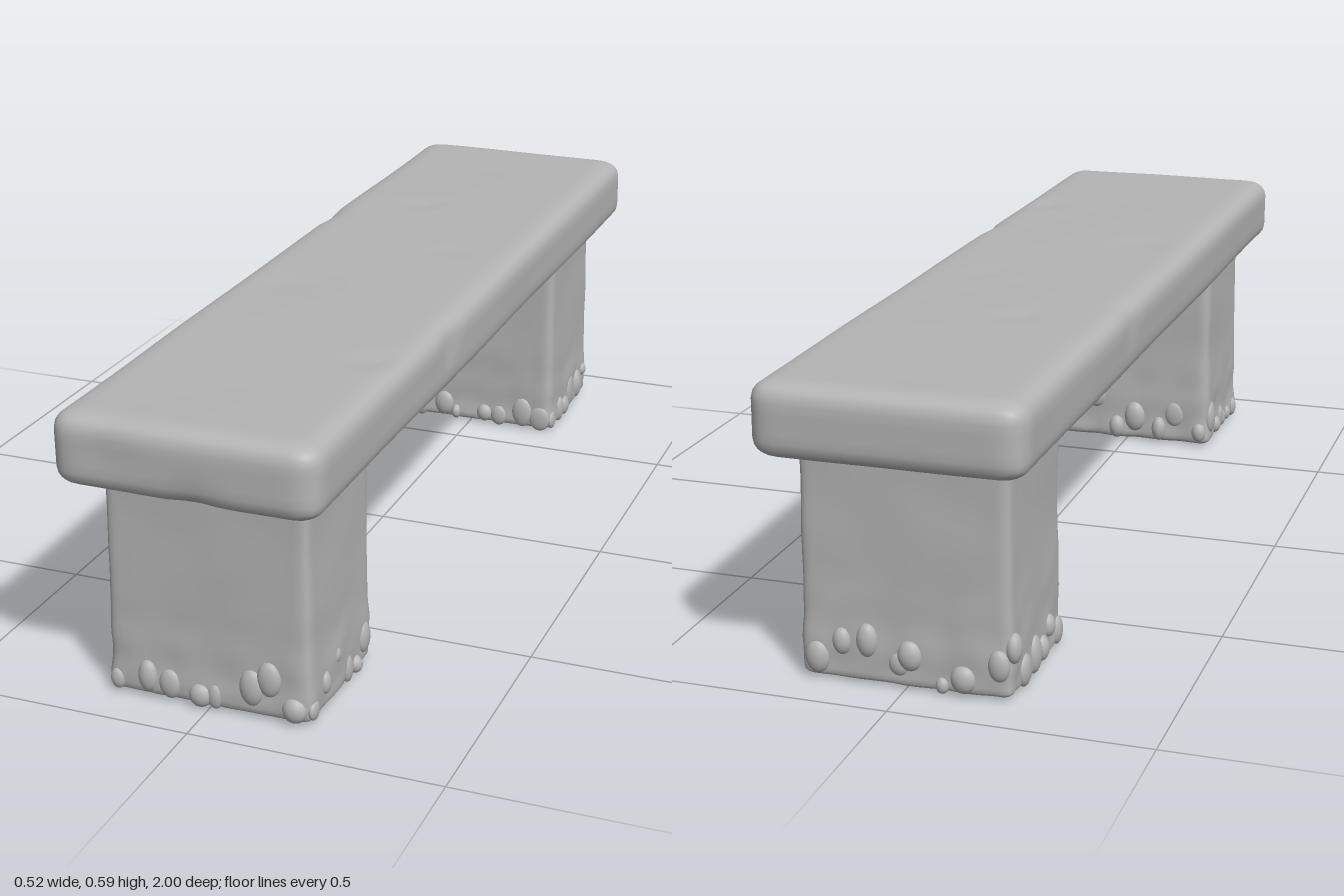
import * as THREE from 'three';
import { mergeVertices } from 'three/addons/utils/BufferGeometryUtils.js';

const stone = new THREE.MeshStandardMaterial({ color: 0xb4b4b4 });
stone.name = 'grey stone';

// Small seeded random generator
function seeded(seed) {
  return () => {
    seed = (seed * 16807) % 2147483647;
    return seed / 2147483647;
  };
}

// Smooth uneven wobble of a point, about -1 to 1
function wobble(x, y, z, f, phase) {
  return (Math.sin(x * f + 1.7 * Math.sin(y * f * 0.8 + phase) + phase)
    + Math.sin(y * f * 1.3 + 1.4 * Math.sin(z * f * 0.7) + phase * 2)
    + Math.sin(z * f * 0.9 + 1.6 * Math.sin(x * f * 1.1) - phase)) / 3;
}

// Box with rounded edges; rule(point, outward direction) adds the weathering
function roundedBlock(half, radius, segments, rule) {
  const geo = new THREE.BoxGeometry(2, 2, 2, ...segments);
  geo.deleteAttribute('uv');
  geo.deleteAttribute('normal');
  const pos = geo.attributes.position;
  const axes = ['x', 'y', 'z'];
  const p = new THREE.Vector3(), q = new THREE.Vector3(), inner = new THREE.Vector3();
  for (let i = 0; i < pos.count; i++) {
    p.fromBufferAttribute(pos, i);
    for (const a of axes) {
      // crowd the grid towards the edges
      const v = Math.sin(p[a] * Math.PI / 2) * half[a];
      inner[a] = THREE.MathUtils.clamp(v, radius[a] - half[a], half[a] - radius[a]);
      q[a] = (v - inner[a]) / radius[a];
    }
    q.normalize();
    p.copy(q).multiply(radius).add(inner);
    rule(p, q);
    pos.setXYZ(i, p.x, p.y, p.z);
  }
  const merged = mergeVertices(geo, 1e-5);
  merged.computeVertexNormals();
  return merged;
}

// Worn seat slab with a few shallow chips: x, y, z, radius, depth
function makeSeat() {
  const chips = [
    [-0.07, 0.0725, -0.44, 0.05, 0.008], [0.19, 0.0725, 0.54, 0.06, 0.006],
    [-0.14, 0.0725, 0.2, 0.09, 0.004], [0.1, 0.0725, -0.12, 0.06, 0.004],
    [0.26, 0.04, 0.3, 0.06, 0.008], [-0.26, 0.05, -0.3, 0.07, 0.006],
    [0.02, -0.06, 1, 0.07, 0.006], [-0.15, 0.02, 1, 0.08, 0.004],
  ];
  const geo = roundedBlock(new THREE.Vector3(0.26, 0.0725, 0.998),
    new THREE.Vector3(0.05, 0.035, 0.05), [24, 12, 80], (p, n) => {
      let d = 0.002 * wobble(p.x, p.y, p.z, 9, 0.6);
      for (const [x, y, z, r, depth] of chips) {
        const t = Math.hypot(p.x - x, p.y - y, p.z - z) / r;
        if (t < 1) d -= depth * (1 - t * t) ** 2;
      }
      p.addScaledVector(n, d);
    });
  const seat = new THREE.Mesh(geo, stone);
  seat.name = 'seat';
  seat.position.y = 0.5235;
  return seat;
}

// Square pier, rough and slightly swollen at the foot, with crumbled lumps
function makeLeg(name, z, seed) {
  const leg = new THREE.Group();
  leg.name = name;
  const half = new THREE.Vector3(0.203, 0.228, 0.151);
  const block = new THREE.Mesh(roundedBlock(half, new THREE.Vector3(0.02, 0.015, 0.02),
    [28, 30, 24], (p, n) => {
      const foot = THREE.MathUtils.clamp((0.02 - p.y) / 0.24, 0, 1);
      const d = 0.002 * wobble(p.x, p.y, p.z, 22, seed)
        + foot * (0.004 + 0.004 * wobble(p.x, p.y, p.z, 55, seed + 2));
      p.x += n.x * d;
      p.z += n.z * d;
      p.y += n.y * d * 0.3;
    }), stone);
  block.name = 'pier';
  block.position.y = 0.235;
  leg.add(block);

  const rand = seeded(seed * 977 + 13);
  const lumpGeo = new THREE.IcosahedronGeometry(1, 3);
  for (let side = 0; side < 4; side++) {
    const alongX = side % 2 === 0;
    const sign = side < 2 ? 1 : -1;
    const span = (alongX ? half.x : half.z) - 0.005;
    const face = (alongX ? half.z : half.x) + 0.001;
    const count = alongX ? 8 : 6;
    for (let i = 0; i < count; i++) {
      const s = span * (2 * (i + 0.2 + 0.6 * rand()) / count - 1);
      const width = 0.012 + 0.014 * rand();
      const height = width * (1 + 0.8 * rand());
      const depth = 0.008 + 0.011 * rand();
      const lump = new THREE.Mesh(lumpGeo, stone);
      lump.name = 'crumbledLump';
      const y = height + 0.003 + (rand() < 0.3 ? 0.08 * rand() : 0.012 * rand());
      lump.position.set(alongX ? s : sign * face, y, alongX ? sign * face : s);
      lump.scale.set(alongX ? width : depth, height, alongX ? depth : width);
      leg.add(lump);
    }
  }
  leg.position.z = z;
  return leg;
}

export function createModel() {
  const bench = new THREE.Group();
  bench.name = 'stoneBench';
  bench.add(makeSeat(), makeLeg('frontLeg', 0.752, 3), makeLeg('backLeg', -0.752, 7));
  return bench;
}
